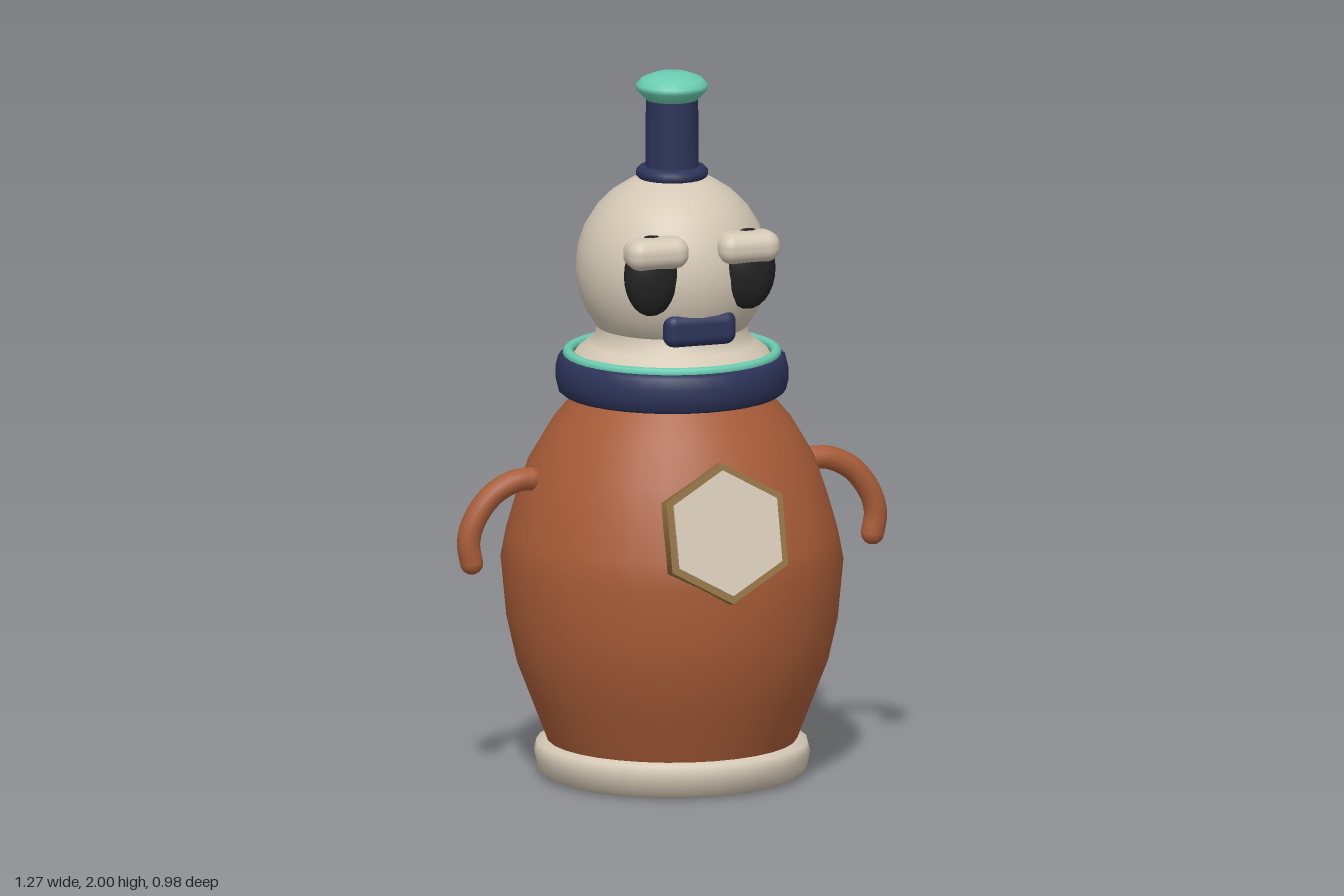
import * as THREE from 'three';
import { RoundedBoxGeometry } from 'three/addons/geometries/RoundedBoxGeometry.js';

const mat = (name, color) => {
  const m = new THREE.MeshStandardMaterial({ color });
  m.name = name;
  return m;
};

export function createModel() {
  const group = new THREE.Group();
  const brown = mat('clay brown', 0xa85c38);
  const cream = mat('cream', 0xd4c8b5);
  const navy = mat('navy', 0x2c3459);
  const teal = mat('teal', 0x6accb0);
  const black = mat('black', 0x222222);
  const gold = mat('dull gold', 0x8f6f40);

  const add = (name, geometry, material, x = 0, y = 0, z = 0, parent = group) => {
    const mesh = new THREE.Mesh(geometry, material);
    mesh.name = name;
    mesh.position.set(x, y, z);
    parent.add(mesh);
    return mesh;
  };
  // Profiles run from bottom to top as [radius, height]
  const lathe = (name, profile, material, segments = 32) =>
    add(name, new THREE.LatheGeometry(profile.map(p => new THREE.Vector2(...p)), segments), material);

  // Barrel body with a closed, recessed floor
  lathe('body', [[0, 0.085], [0.335, 0.085], [0.35, 0.11], [0.4, 0.24], [0.435, 0.33], [0.462, 0.45],
    [0.478, 0.62], [0.463, 0.7], [0.437, 0.79], [0.4, 0.9], [0.335, 1.01], [0.26, 1.1]], brown);
  lathe('baseRing', [[0.285, 0.1], [0.283, 0.03], [0.3, 0.004], [0.345, 0.004], [0.375, 0.025],
    [0.385, 0.07], [0.378, 0.1], [0.34, 0.108]], cream);

  // Collar with its bright trim
  lathe('collar', [[0.24, 1.1], [0.305, 1.09], [0.318, 1.1], [0.325, 1.13], [0.325, 1.16],
    [0.318, 1.19], [0.305, 1.2], [0.26, 1.2]], navy);
  const trim = add('collarTrim', new THREE.TorusGeometry(0.29, 0.015, 8, 40), teal, 0, 1.203);
  trim.rotation.x = Math.PI / 2;

  // Neck and head
  lathe('neck', [[0.282, 1.19], [0.265, 1.212], [0.235, 1.235], [0.214, 1.255], [0.208, 1.3], [0.212, 1.36]], cream);
  add('head', new THREE.SphereGeometry(0.27, 32, 14), cream, 0, 1.45);

  // Chimney hat with a mushroom cap
  lathe('hatBrim', [[0.06, 1.695], [0.09, 1.697], [0.1, 1.708], [0.1, 1.722], [0.09, 1.733], [0.06, 1.735]], navy, 24);
  add('hatTube', new THREE.CylinderGeometry(0.073, 0.075, 0.22, 24), navy, 0, 1.82);
  lathe('hatCap', [[0, 1.918], [0.068, 1.918], [0.1, 1.952], [0.1, 1.966], [0.085, 1.982],
    [0.05, 1.996], [0, 2]], teal, 24);

  // Mouth
  add('mouth', new RoundedBoxGeometry(0.21, 0.095, 0.065, 3, 0.03), navy, 0, 1.313, 0.222);

  // Chest plate: hexagonal frame with a raised panel, leaning back with the body
  const plate = new THREE.Group();
  plate.name = 'chestPlate';
  plate.position.set(0, 0.77, 0.43);
  plate.rotation.x = -0.25;
  group.add(plate);
  const hexagon = (radius, depth) => {
    const g = new THREE.CylinderGeometry(radius, radius, depth, 6);
    return g.rotateX(Math.PI / 2).toNonIndexed();
  };
  add('plateFrame', hexagon(0.198, 0.045), gold, 0, 0, 0, plate);
  add('platePanel', hexagon(0.176, 0.03), cream, 0, 0, 0.015, plate);

  // Eyes, brows and arms, mirrored
  for (const s of [1, -1]) {
    const side = s > 0 ? 'left' : 'right';
    const eye = add(side + 'Eye', new THREE.SphereGeometry(1, 20, 14), black, s * 0.143, 1.475, 0.226);
    eye.scale.set(0.08, 0.115, 0.05);
    add(side + 'Brow', new RoundedBoxGeometry(0.18, 0.088, 0.105, 4, 0.04), cream, s * 0.135, 1.541, 0.241);

    const arm = new THREE.Group();
    arm.name = side + 'Arm';
    group.add(arm);
    const path = [[0.42, 0.872], [0.46, 0.87], [0.53, 0.836], [0.583, 0.77], [0.603, 0.705], [0.594, 0.645]]
      .map(([x, y]) => new THREE.Vector3(s * x, y, 0));
    add('armTube', new THREE.TubeGeometry(new THREE.CatmullRomCurve3(path), 18, 0.033, 12), brown, 0, 0, 0, arm);
    for (const p of [path[0], path[path.length - 1]]) {
      add('armEnd', new THREE.SphereGeometry(0.033, 12, 8), brown, p.x, p.y, 0, arm);
    }
  }
  return group;
}
